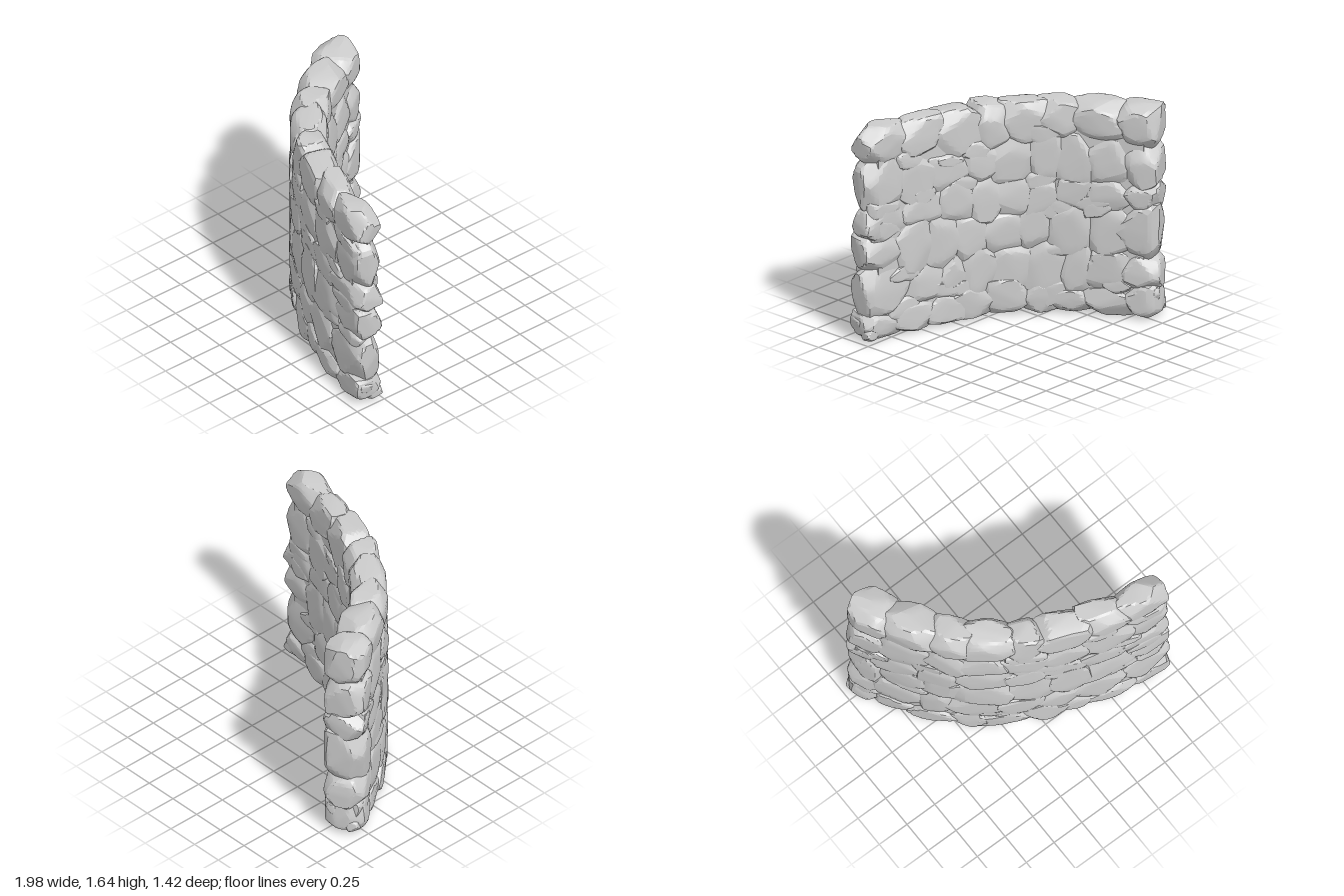
import * as THREE from 'three';
import { mergeVertices, toCreasedNormals } from 'three/addons/utils/BufferGeometryUtils.js';

const material = new THREE.MeshStandardMaterial({ color: 0xcccccc });

// Plan of the wall's centre line, from the back-right end to the front-left end
const plan = new THREE.CatmullRomCurve3([
  [-0.872, -0.648], [-0.665, -0.3], [-0.455, -0.005], [-0.22, 0.205], [0, 0.333],
  [0.3, 0.458], [0.6, 0.55], [0.985, 0.61],
].map(([x, z]) => new THREE.Vector3(x, 0, z)));
const LENGTH = plan.getLength();
const BASE = 0.008, TOP = 1.642;
const COURSES = [BASE, 0.23, 0.51, 0.82, 1.05, 1.34, TOP];
const LAST = COURSES.length - 1;
const halfDepth = (along) => THREE.MathUtils.lerp(0.152, 0.108, along / LENGTH);

let seed = 777;
function random(min = 0, max = 1) {
  seed = (seed * 16807) % 2147483647;
  return min + (max - min) * (seed / 2147483647);
}

const ball = new THREE.IcosahedronGeometry(1, 6);
ball.deleteAttribute('uv');
ball.deleteAttribute('normal');
const sphere = mergeVertices(ball);

// A chiselled block: a sphere pressed onto a rounded set of cutting planes
function stoneGeometry(hx, hy, hz) {
  const planes = [];
  for (const axis of [0, 1, 2]) {
    for (const sign of [-1, 1]) {
      const n = new THREE.Vector3(random(-0.15, 0.15), random(-0.15, 0.15), random(-0.15, 0.15));
      n.setComponent(axis, sign);
      planes.push({ n: n.normalize(), d: 1 });
    }
  }
  for (let i = 0; i < 26; i++) {
    const n = new THREE.Vector3(random(-1, 1), random(-1, 1), random(-1, 1)).normalize();
    planes.push({ n, d: random(1.02, 1.22) });
  }
  const geometry = sphere.clone();
  const position = geometry.attributes.position;
  const v = new THREE.Vector3();
  for (let i = 0; i < position.count; i++) {
    v.fromBufferAttribute(position, i).normalize();
    let sum = 0;
    for (const { n, d } of planes) sum += Math.max(0, n.dot(v) / d) ** 44;
    v.multiplyScalar(sum ** (-1 / 44)).clampScalar(-1.01, 1.01);
    position.setXYZ(i, v.x * hx, v.y * hy, v.z * hz);
  }
  return toCreasedNormals(geometry, 0.22);
}

// Set a stone at a distance along the wall, a height and an offset from the centre line
function addStone(group, name, along, y, offset, hx, hy, hz, roll = 0) {
  const u = along / LENGTH;
  const t = plan.getTangentAt(u);
  const mesh = new THREE.Mesh(stoneGeometry(hx, hy, hz), material);
  mesh.name = name;
  mesh.position.copy(plan.getPointAt(u));
  mesh.position.add(new THREE.Vector3(-t.z, 0, t.x).multiplyScalar(offset));
  mesh.position.y = y;
  mesh.rotation.set(0, Math.atan2(-t.z, t.x), roll, 'YXZ');
  group.add(mesh);
}

// Split a run into uneven lengths
function joints(start, end, size) {
  const count = Math.round((end - start) / size);
  const cuts = [start];
  for (let i = 1; i < count; i++) {
    cuts.push(start + ((end - start) * (i + random(-0.25, 0.25))) / count);
  }
  return [...cuts, end];
}

// Wavering height of the bed joint below a course
function bed(c, along, side) {
  const wave = c === 0 || c === LAST ? 0 : 0.045;
  return COURSES[c] + wave * Math.sin(along * 4.2 + c * 2.3 + side);
}

// Solid fill hidden behind the stone faces
function makeCore() {
  const front = [], back = [];
  for (let i = 0; i <= 32; i++) {
    const u = 0.05 + (0.9 * i) / 32;
    const p = plan.getPointAt(u), t = plan.getTangentAt(u), h = halfDepth(u * LENGTH) * 0.78;
    front.push(new THREE.Vector2(p.x - t.z * h, -(p.z + t.x * h)));
    back.unshift(new THREE.Vector2(p.x + t.z * h, -(p.z - t.x * h)));
  }
  const geometry = new THREE.ExtrudeGeometry(new THREE.Shape([...front, ...back]), {
    depth: 1.44, bevelEnabled: false,
  });
  geometry.rotateX(-Math.PI / 2).translate(0, 0.1, 0);
  const core = new THREE.Mesh(toCreasedNormals(geometry, 0.5), material);
  core.name = 'wallCore';
  return core;
}

export function createModel() {
  const wall = new THREE.Group();
  wall.name = 'curvedStoneWall';
  wall.add(makeCore());

  for (let c = 0; c < LAST; c++) {
    const course = new THREE.Group();
    course.name = `course${c + 1}`;
    wall.add(course);
    const isEdge = c === 0 || c === LAST - 1;

    // A stone between two joints, overlapping its neighbours so that no gap shows
    const lay = (name, from, to, side, overlap, depth, hz, roll) => {
      const along = (from + to) / 2;
      const low = Math.max(BASE, bed(c, along, side) - overlap);
      const high = Math.min(TOP, bed(c + 1, along, side) + overlap);
      addStone(course, name, along, (low + high) / 2, side * (depth - hz),
        (to - from) / 2, (high - low) / 2, hz, roll);
    };

    // Full-depth stones closing both ends
    const first = random(0.22, 0.32), last = random(0.28, 0.46);
    const startDepth = halfDepth(0), endDepth = halfDepth(LENGTH);
    lay('endStone', random(0, 0.015), first + 0.05, 0, 0.03, startDepth, startDepth, 0);
    lay('endStone', LENGTH - last - 0.05, LENGTH - random(0, 0.015), 0, 0.03, endDepth, endDepth, 0);

    // Top and foot courses run through the wall; the others have two faces
    for (const side of isEdge ? [0] : [1, -1]) {
      const cuts = joints(first, LENGTH - last, side < 0 ? 0.25 : 0.28);
      for (let i = 0; i < cuts.length - 1; i++) {
        const depth = halfDepth((cuts[i] + cuts[i + 1]) / 2) * random(0.97, 1.03);
        const name = ['backStone', isEdge && c ? 'topStone' : 'footStone', 'frontStone'][side + 1];
        lay(name, cuts[i] - 0.065, cuts[i + 1] + 0.065, side, isEdge ? 0.04 : 0.055,
          depth, isEdge ? depth : depth * 0.68, isEdge ? 0 : random(-0.16, 0.16));
      }
    }
  }

  // Small stones wedged into the joints
  const wedges = new THREE.Group();
  wedges.name = 'wedgeStones';
  wall.add(wedges);
  for (let i = 0; i < 44; i++) {
    const along = random(0.15, LENGTH - 0.15);
    const side = i % 2 ? 1 : -1;
    const y = bed(1 + (i % (LAST - 1)), along, side) + random(-0.03, 0.03);
    addStone(wedges, 'wedgeStone', along, y, side * (halfDepth(along) * 0.98 - 0.065),
      random(0.1, 0.17), random(0.06, 0.1), 0.065, random(-0.35, 0.35));
  }
  // Rubble at the foot of the ends
  for (const [along, y, offset] of [[0.06, 0.08, 0.07], [0.07, 0.2, -0.07],
    [LENGTH - 0.06, 0.15, 0.03], [LENGTH - 0.07, 0.07, -0.05]]) {
    addStone(wedges, 'rubbleStone', along, y, offset, 0.06, 0.05, 0.055, random(-0.5, 0.5));
  }
  return wall;
}
